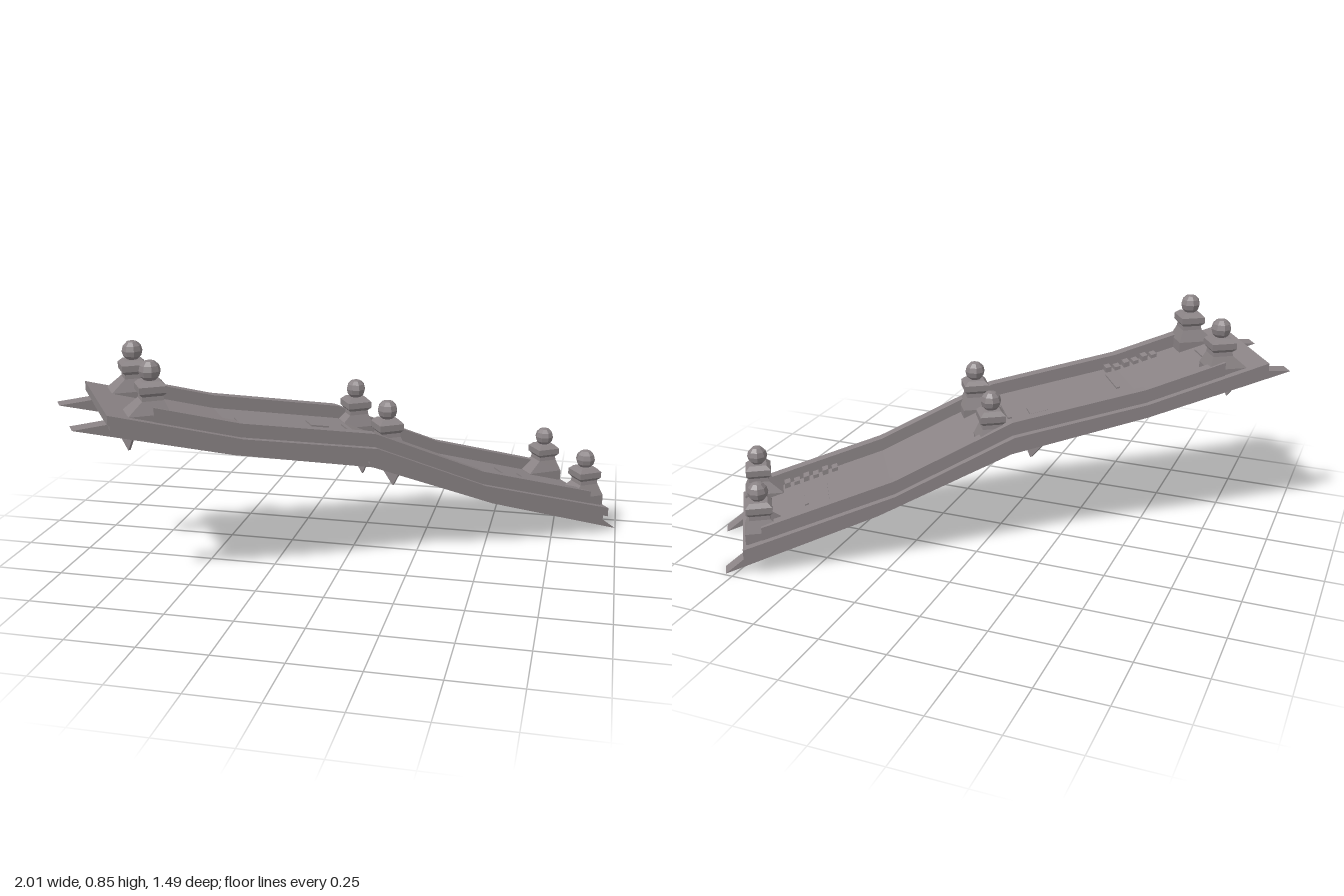
import * as THREE from 'three';

const stone = new THREE.MeshStandardMaterial({ color: 0x8a8385, flatShading: true, side: THREE.DoubleSide });
stone.name = 'weathered stone';

// Height of the walkway along the bridge
const path = [[-1.07, 0.72], [-0.96, 0.69], [-0.5, 0.56], [0, 0.47], [0.44, 0.275], [0.99, 0.115], [1.07, 0.09]];
function level(s) {
  for (let i = 1; i < path.length; i++) {
    const [a, ya] = path[i - 1], [b, yb] = path[i];
    if (s <= b) return ya + (yb - ya) * (s - a) / (b - a);
  }
  return path[path.length - 1][1];
}

function add(parent, name, geometry, x = 0, y = 0, z = 0) {
  const mesh = new THREE.Mesh(geometry, stone);
  mesh.name = name;
  mesh.position.set(x, y, z);
  parent.add(mesh);
  return mesh;
}

// Side profile extruded across the width from t0 to t1
function prism(points, t0, t1) {
  const shape = new THREE.Shape(points.map(([x, y]) => new THREE.Vector2(x, y)));
  return new THREE.ExtrudeGeometry(shape, { depth: t1 - t0, bevelEnabled: false }).translate(0, 0, t0);
}

// Strip that follows the walkway, between two heights relative to it
function strip(s0, s1, lo, hi, t0, t1) {
  const stations = [s0, ...path.map(p => p[0]).filter(s => s > s0 && s < s1), s1];
  const bottom = stations.map(s => [s, level(s) + lo]);
  const top = stations.map(s => [s, level(s) + hi]).reverse();
  return prism([...bottom, ...top], t0, t1);
}

// Square post outline turned on four sides, stretched uphill at the foot
function postGeometry() {
  const rings = [[0.055, 0], [0.055, 0.04], [0.038, 0.085], [0.036, 0.1], [0.047, 0.112], [0.047, 0.135], [0.032, 0.15], [0, 0.152]];
  const g = new THREE.LatheGeometry(rings.map(([r, y]) => new THREE.Vector2(r * Math.SQRT2, y)), 4, Math.PI / 4);
  const p = g.attributes.position;
  for (let i = 0; i < p.count; i++) {
    if (p.getY(i) < 0.05 && p.getX(i) < 0) p.setX(i, p.getX(i) - 0.035);
  }
  return g;
}

// Flat triangular shard hanging under the bridge
function shard(width, height) {
  const shape = new THREE.Shape([new THREE.Vector2(-width / 2, 0), new THREE.Vector2(width * 0.1, -height), new THREE.Vector2(width / 2, 0)]);
  return new THREE.ExtrudeGeometry(shape, { depth: 0.012, bevelEnabled: false });
}

export function createModel() {
  const model = new THREE.Group();
  model.name = 'model';
  const bridge = new THREE.Group();
  bridge.name = 'bridge';
  bridge.rotation.y = 0.573;
  model.add(bridge);

  // Walkway slab with a recessed course below its edge
  add(bridge, 'walkwaySlab', strip(-0.96, 0.99, -0.035, 0, -0.25, 0.25));
  add(bridge, 'lowerCourse', strip(-0.95, 0.98, -0.055, -0.035, -0.23, 0.23));

  for (const side of [-1, 1]) {
    const across = (a, b) => (side > 0 ? [a, b] : [-b, -a]);

    // Low parapet between the posts
    add(bridge, 'parapet', strip(-0.8, 0.92, 0, 0.05, ...across(0.185, 0.225)));

    // Supporting beam with pointed ends
    const beam = [
      [-1.07, 0.635], [-0.52, 0.49], [0, 0.385], [0.5, 0.18], [1.06, 0.002],
      [0.97, 0.07], [0.44, 0.235], [0, 0.425], [-0.5, 0.52], [-0.95, 0.645],
    ];
    add(bridge, 'beam', prism(beam, ...across(0.14, 0.2)));

    // Posts with ball finials
    for (const [s, top] of [[-0.796, 0.848], [0.07, 0.627], [0.923, 0.342]]) {
      const post = new THREE.Group();
      post.name = 'post';
      post.position.set(s, top - 0.22, side * 0.166);
      add(post, 'postBody', postGeometry());
      add(post, 'postBall', new THREE.SphereGeometry(0.038, 8, 6), 0, 0.182, 0);
      bridge.add(post);
    }
  }

  // Rows of small loose stones beside the parapets
  for (const [start, t] of [[-0.66, 0.165], [0.62, 0.165]]) {
    for (let i = 0; i < 6; i++) {
      const s = start + i * 0.037;
      add(bridge, 'looseStone', strip(s, s + 0.022, -0.01, 0.014 + (i % 2) * 0.006, t - 0.02, t + 0.02));
    }
  }

  // Raised paving slabs
  for (const [s, t, length, width] of [[-0.13, -0.05, 0.07, 0.07], [-0.02, 0, 0.015, 0.14], [-0.45, 0.04, 0.015, 0.15],
    [-0.8, 0, 0.015, 0.16], [0.66, -0.02, 0.015, 0.15], [0.75, 0, 0.015, 0.13]]) {
    add(bridge, 'pavingSlab', strip(s - length / 2, s + length / 2, -0.01, 0.006, t - width / 2, t + width / 2));
  }

  // Broken shards under the walkway
  for (const [s, t, tip, width] of [[-0.87, -0.11, 0.515, 0.12], [-0.87, 0.08, 0.515, 0.12],
    [-0.1, -0.13, 0.33, 0.17], [0.05, -0.06, 0.28, 0.14], [0.13, 0.06, 0.26, 0.14]]) {
    add(bridge, 'hangingShard', shard(width, level(s) - 0.045 - tip), s, level(s) - 0.045, t).rotation.y = -0.9;
  }
  return model;
}
